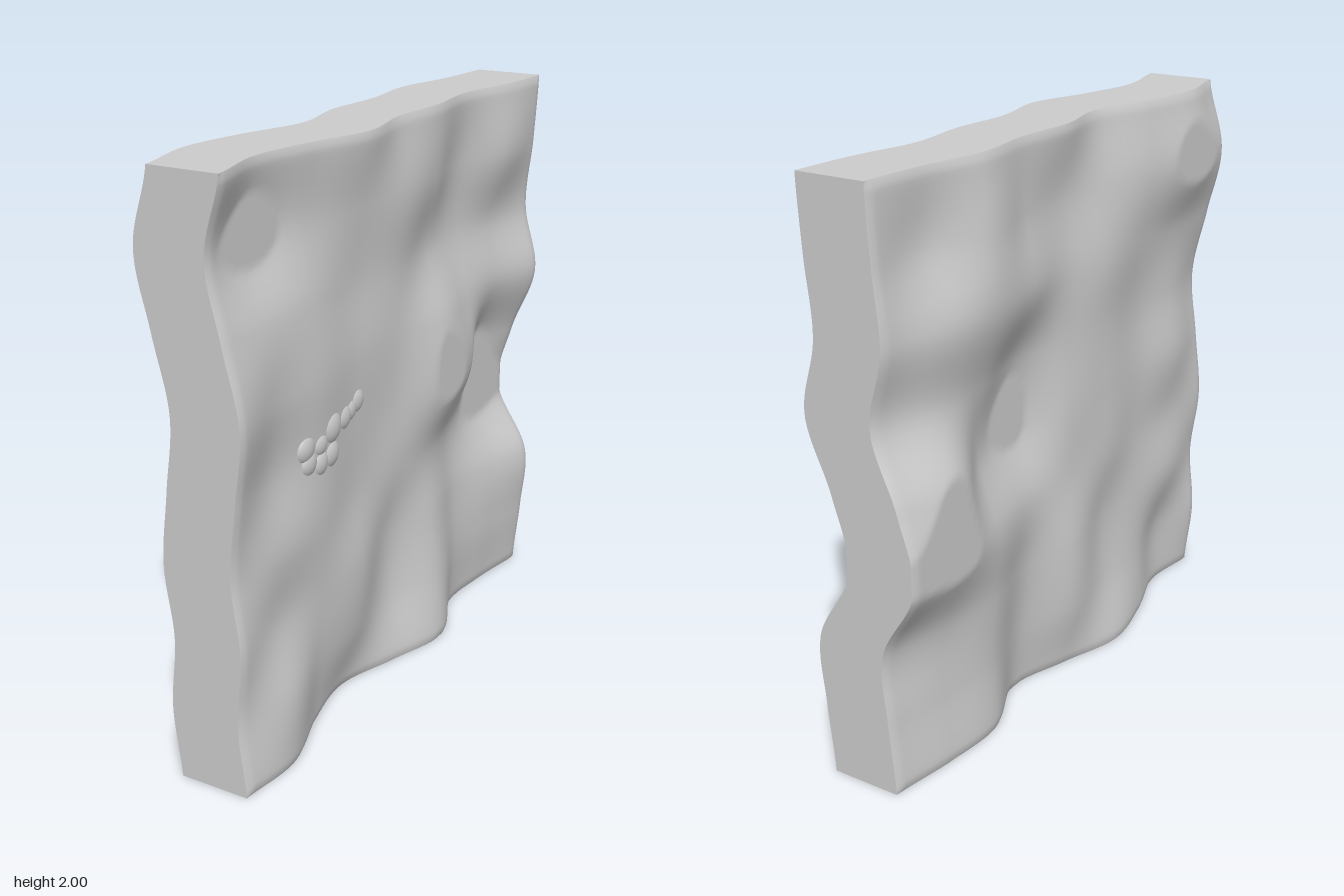
import * as THREE from 'three';

const HALF = 0.134;   // half thickness of the slab
const WIDTH = 1.99;
const TURN = THREE.MathUtils.degToRad(20);

// Bulge of the sheet in thousandths, rows from bottom to top, every quarter unit
const BULGE = [
  [42, 62, -15, -58, 15, 78, -20, -10, 25],
  [15, 62, 5, 0, -25, 55, -5, 15, 50],
  [35, 5, 10, 20, -25, 30, -15, 10, 60],
  [5, 20, 20, -5, 5, 15, -35, -78, -68],
  [30, -10, 15, 0, 10, 88, 45, -75, -15],
  [55, 15, 25, 5, 20, 68, 22, 10, 75],
  [0, 0, 0, -10, 20, -15, -42, -15, 25],
  [-50, -85, -35, 15, 45, 20, -28, 55, 45],
  [10, -40, -5, 58, 15, 25, 0, 42, 60],
];

// Smooth cubic through four neighbours
function cubic(a, b, c, d, t) {
  return b + 0.5 * t * (c - a + t * (2 * a - 5 * b + 4 * c - d + t * (3 * (b - c) + d - a)));
}

function along(values, s) {
  const i = Math.min(7, Math.max(0, Math.floor(s)));
  const at = (k) => values[Math.min(8, Math.max(0, k))];
  return cubic(at(i - 1), at(i), at(i + 1), at(i + 2), s - i);
}

// Bulge at a point, cut off flat at its highest and lowest
function bulge(x, y) {
  const sx = THREE.MathUtils.clamp((x + 1) * 4, 0, 8);
  const sy = THREE.MathUtils.clamp(y * 4, 0, 8);
  const h = along(BULGE.map((row) => along(row, sx)), sy) / 1000;
  return THREE.MathUtils.clamp(h, -0.062, 0.076);
}

// Wavy slab: both faces follow the same bulge, with softened rims
function makeSlab(material) {
  const geometry = new THREE.BoxGeometry(WIDTH, 2, HALF * 2, 110, 110, 1);
  const p = geometry.attributes.position;
  for (let i = 0; i < p.count; i++) {
    const x = p.getX(i), y = p.getY(i) + 1, z = p.getZ(i);
    const rim = Math.min(WIDTH / 2 - Math.abs(x), 1 - Math.abs(y - 1));
    const soften = 0.009 * Math.max(0, 1 - rim / 0.03) ** 2;
    p.setXYZ(i, x, y, z - Math.sign(z) * soften + bulge(x, y));
  }
  geometry.computeVertexNormals();
  const slab = new THREE.Mesh(geometry, material);
  slab.name = 'wavySlab';
  return slab;
}

// Cluster of small pebbles sunk into the front face: x, y, radius
function makePebbles(material) {
  const group = new THREE.Group();
  group.name = 'pebbleCluster';
  const spots = [
    [-0.575, 1.04, 0.045], [-0.56, 0.985, 0.04], [-0.5, 0.965, 0.04],
    [-0.435, 0.975, 0.045], [-0.5, 1.03, 0.035], [-0.43, 1.065, 0.052],
    [-0.345, 1.07, 0.04], [-0.3, 1.08, 0.034], [-0.255, 1.1, 0.04],
  ];
  const sphere = new THREE.SphereGeometry(1, 20, 14);
  for (const [x, y, r] of spots) {
    const pebble = new THREE.Mesh(sphere, material);
    pebble.name = 'pebble';
    pebble.scale.set(r * 1.2, r * 1.2, r * 0.7);
    pebble.position.set(x, y, HALF + bulge(x, y) - r * 0.42);
    group.add(pebble);
  }
  return group;
}

export function createModel() {
  const stone = new THREE.MeshStandardMaterial({ color: 0xcccccc });
  stone.name = 'stone grey';
  const model = new THREE.Group();
  model.name = 'stonePanel';
  const panel = new THREE.Group();
  panel.name = 'panel';
  panel.add(makeSlab(stone), makePebbles(stone));
  panel.rotation.y = TURN;
  model.add(panel);
  return model;
}
